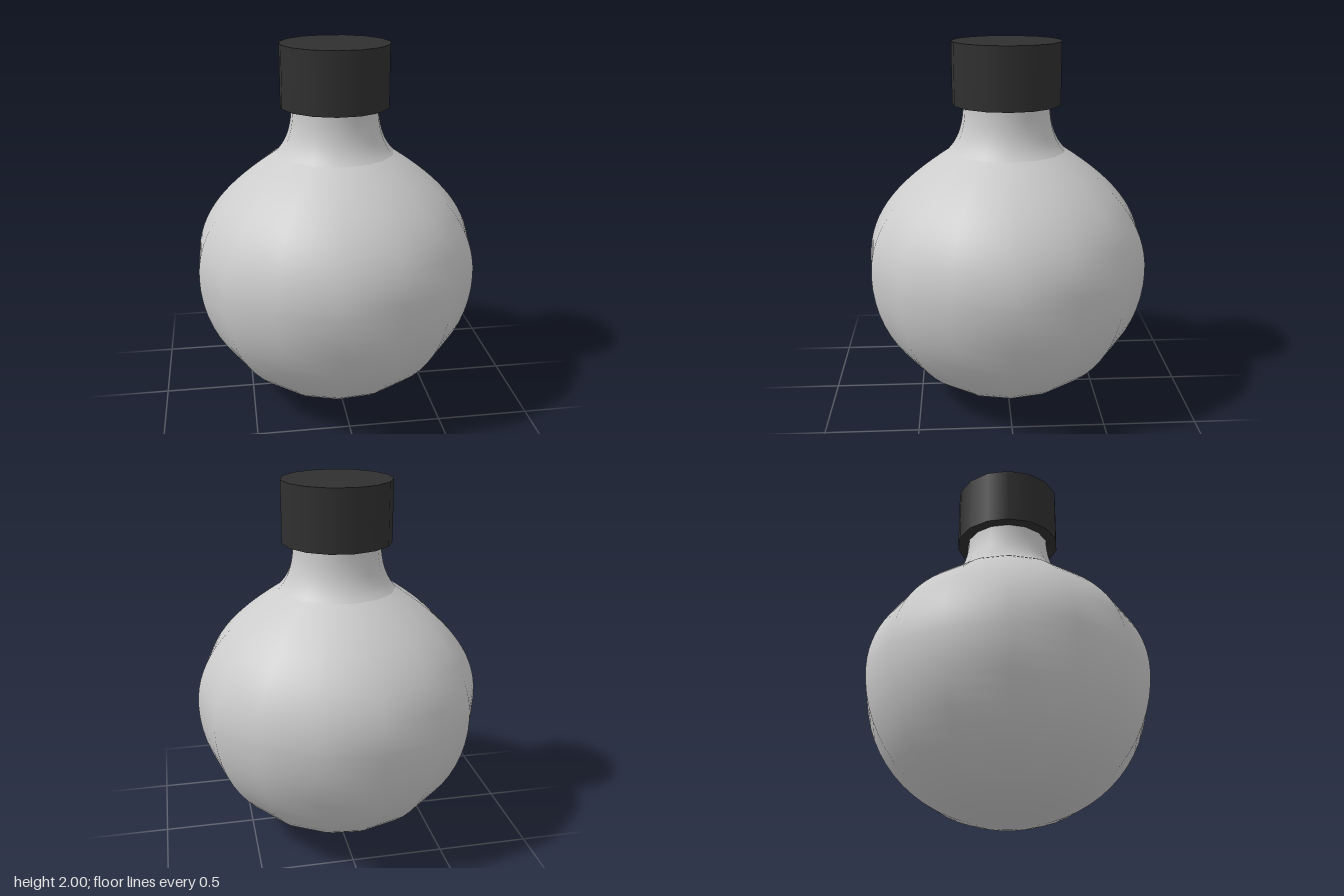
import * as THREE from 'three';

const SIDES = 15;
const R = 0.78;
const START = Math.PI / 2; // puts a corner of the polygon on +x

export function createModel() {
  const group = new THREE.Group();
  const glass = new THREE.MeshStandardMaterial({ color: 0xcccccc, side: THREE.DoubleSide });
  const dark = new THREE.MeshStandardMaterial({ color: 0x303030 });

  const add = (name, geometry, material) => {
    const mesh = new THREE.Mesh(geometry, material);
    mesh.name = name;
    group.add(mesh);
    return mesh;
  };
  const lathe = (points) => new THREE.LatheGeometry(points, SIDES, START, Math.PI * 2);

  // Round belly: half sphere below, shoulder tapering to the neck above
  const belly = [];
  for (let i = 0; i <= 16; i++) {
    const a = (i / 16) * Math.PI / 2;
    belly.push(new THREE.Vector2(R * Math.sin(a), R - R * Math.cos(a)));
  }
  const shoulder = new THREE.CubicBezierCurve(
    new THREE.Vector2(R, R), new THREE.Vector2(R, 1.06),
    new THREE.Vector2(0.58, 1.25), new THREE.Vector2(0.32, 1.42));
  belly.push(...shoulder.getPoints(16).slice(1));
  add('flaskBody', lathe(belly), glass);

  // Flared neck, running up into the cap
  const neck = new THREE.CubicBezierCurve(
    new THREE.Vector2(0.32, 1.42), new THREE.Vector2(0.26, 1.48),
    new THREE.Vector2(0.235, 1.57), new THREE.Vector2(0.235, 1.69));
  add('neck', lathe(neck.getPoints(12)), glass);

  // Cap
  const cap = add('cap', new THREE.CylinderGeometry(0.295, 0.295, 0.33, SIDES, 1, false, START), dark);
  cap.position.y = 1.835;

  // Centre the odd-sided outline on x = 0
  group.children.forEach((mesh) => { mesh.position.x = -0.008; });
  return group;
}
